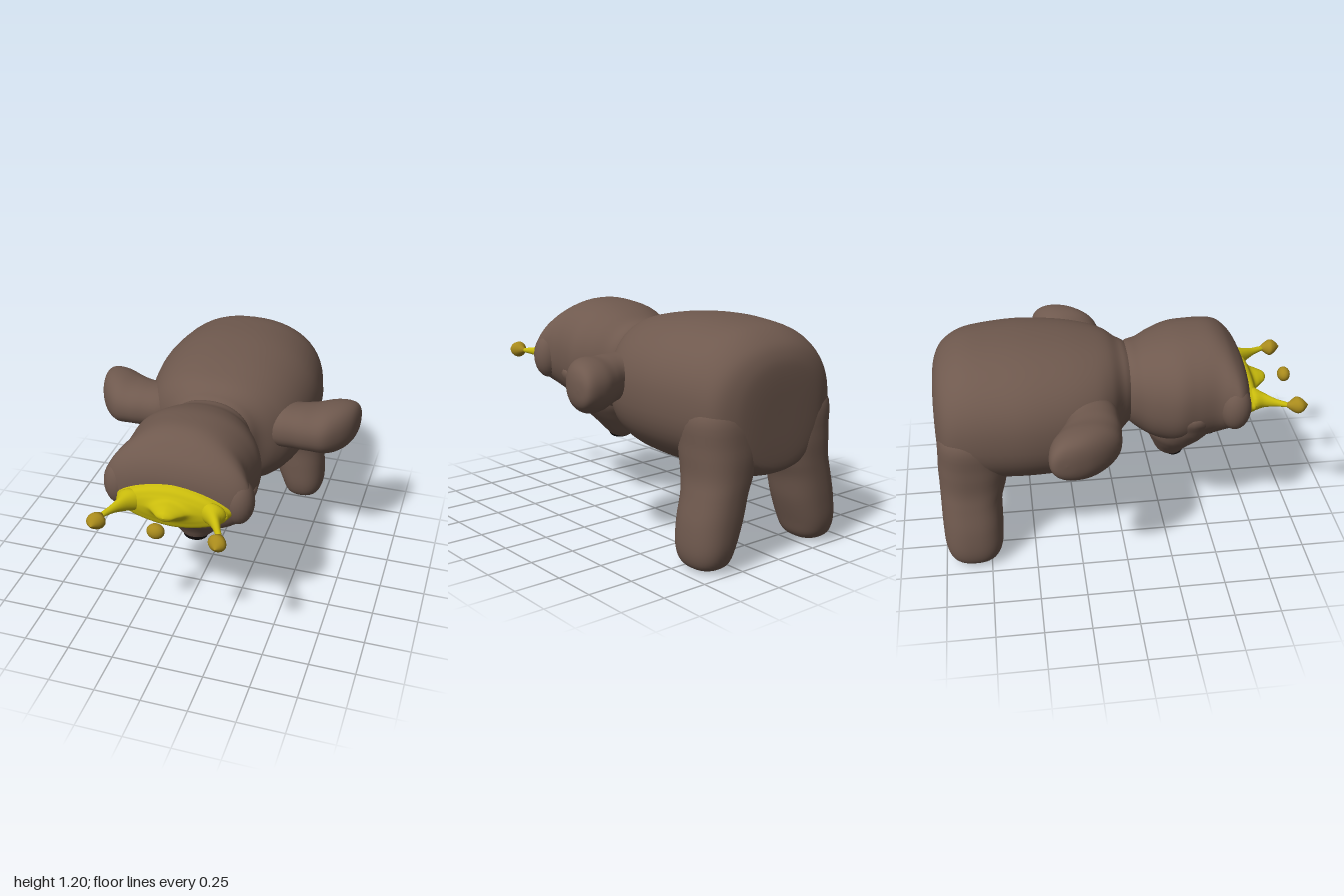
import * as THREE from 'three';

const fur = new THREE.MeshStandardMaterial({ color: 0x6f594e });
const dark = new THREE.MeshStandardMaterial({ color: 0x0e0909 });
const yellow = new THREE.MeshStandardMaterial({ color: 0xc9bb0c });
const ochre = new THREE.MeshStandardMaterial({ color: 0xa88a1c });

// Smooth loft of superellipse rings along an axis.
// Each section: [t, uMin, uMax, vMin, vMax], t ascending.
// Axis z: (u,v,t) = (x,y,z). Axis y: (z,x,y). Axis x: (y,z,x).
function loft(axis, sections, { power = 2, mirror = false, sides = 40, steps = 5 } = {}) {
  const last = sections.length - 1, rings = [], pos = [], index = [];
  const spline = (a, b, c, d, f) =>
    b + 0.5 * f * (c - a + f * (2 * a - 5 * b + 4 * c - d + f * (3 * (b - c) + d - a)));
  for (let i = 0; i < last; i++) {
    for (let k = 0; k < steps; k++) {
      const [a, b, c, d] = [i - 1, i, i + 1, i + 2].map(n => sections[Math.min(last, Math.max(0, n))]);
      rings.push(b.map((_, n) => spline(a[n], b[n], c[n], d[n], k / steps)));
    }
  }
  rings.push(sections[last]);
  const curve = c => Math.sign(c) * Math.abs(c) ** (2 / power);
  for (const [t, u0, u1, v0, v1] of rings) {
    for (let j = 0; j < sides; j++) {
      const a = j / sides * Math.PI * 2;
      const u = (u0 + u1) / 2 + Math.max(0, u1 - u0) / 2 * curve(Math.cos(a));
      const v = (v0 + v1) / 2 + Math.max(0, v1 - v0) / 2 * curve(Math.sin(a));
      const p = axis === 'z' ? [u, v, t] : axis === 'y' ? [v, t, u] : [t, u, v];
      if (mirror) p[0] *= -1;
      pos.push(...p);
    }
  }
  for (let i = 0; i < rings.length - 1; i++) {
    for (let j = 0; j < sides; j++) {
      const a = i * sides + j, b = i * sides + (j + 1) % sides, c = a + sides, d = b + sides;
      index.push(...(mirror ? [a, c, b, b, c, d] : [a, b, c, b, d, c]));
    }
  }
  const geo = new THREE.BufferGeometry();
  geo.setAttribute('position', new THREE.Float32BufferAttribute(pos, 3));
  geo.setIndex(index);
  geo.computeVertexNormals();
  return geo;
}

// Section symmetric about x = 0 for lofts along z
const sym = ([z, w, y0, y1]) => [z, -w, w, y0, y1];

export function createModel() {
  const model = new THREE.Group();
  const add = (name, geo, mat) => {
    const mesh = new THREE.Mesh(geo, mat);
    mesh.name = name;
    model.add(mesh);
    return mesh;
  };
  const ball = (name, mat, [x, y, z], [rx, ry, rz]) => {
    const mesh = add(name, new THREE.SphereGeometry(1, 24, 16), mat);
    mesh.position.set(x, y, z);
    mesh.scale.set(rx, ry, rz);
    return mesh;
  };

  // Body: flat rump at the back, narrow neck at the front
  add('body', loft('z', [
    [-1, 0, 0.75, 0.75], [-0.998, 0.2, 0.52, 0.95], [-0.98, 0.31, 0.47, 1.05],
    [-0.93, 0.395, 0.44, 1.12], [-0.83, 0.44, 0.43, 1.175], [-0.68, 0.47, 0.43, 1.195],
    [-0.5, 0.485, 0.43, 1.2], [-0.3, 0.465, 0.435, 1.185], [-0.15, 0.42, 0.46, 1.16],
    [-0.06, 0.35, 0.52, 1.135], [0, 0.27, 0.61, 1.1], [0.05, 0.225, 0.66, 1.075],
    [0.12, 0.15, 0.72, 1.0], [0.15, 0, 0.86, 0.86],
  ].map(sym), { power: 2.25, sides: 56 }), fur);

  // Head, with its crown end facing forward
  add('head', loft('z', [
    [-0.05, 0, 0.86, 0.86], [0, 0.15, 0.72, 1.0], [0.05, 0.225, 0.66, 1.075],
    [0.12, 0.265, 0.6, 1.095], [0.2, 0.315, 0.56, 1.13], [0.3, 0.355, 0.54, 1.16],
    [0.4, 0.35, 0.545, 1.172], [0.5, 0.345, 0.57, 1.172], [0.57, 0.37, 0.61, 1.145],
    [0.62, 0.385, 0.64, 1.1], [0.66, 0.35, 0.67, 1.05], [0.685, 0.28, 0.715, 0.99],
    [0.695, 0.16, 0.77, 0.93], [0.698, 0, 0.85, 0.85],
  ].map(sym), { power: 2.2, sides: 56 }), fur);

  // Muzzle hanging beneath the head, and the nose on its tip
  add('muzzle', loft('y', [
    [0.37, 0.32, 0.32, 0, 0], [0.376, 0.275, 0.365, -0.045, 0.045],
    [0.41, 0.23, 0.385, -0.09, 0.09], [0.46, 0.205, 0.41, -0.14, 0.14],
    [0.53, 0.175, 0.46, -0.21, 0.21], [0.6, 0.15, 0.53, -0.27, 0.27],
    [0.7, 0.16, 0.58, -0.325, 0.325], [0.82, 0.2, 0.55, -0.33, 0.33],
    [0.95, 0.37, 0.37, 0, 0],
  ]), fur);
  ball('nose', dark, [0, 0.395, 0.325], [0.07, 0.033, 0.058]);

  for (const side of [1, -1]) {
    const label = side > 0 ? 'left' : 'right';
    const mirror = side < 0;

    // Leg: tapers into the hip at the top
    add(label + 'Leg', loft('y', [
      [0, -0.84, -0.84, 0.36, 0.36], [0.008, -0.91, -0.77, 0.3, 0.42],
      [0.04, -0.965, -0.71, 0.255, 0.465], [0.12, -0.993, -0.68, 0.222, 0.485],
      [0.25, -1, -0.672, 0.175, 0.477], [0.38, -1, -0.668, 0.142, 0.45],
      [0.48, -1, -0.64, 0.1, 0.435], [0.62, -0.998, -0.62, 0.06, 0.44],
      [0.8, -0.97, -0.65, 0.1, 0.43], [0.92, -0.82, -0.82, 0.25, 0.25],
    ], { power: 2.35, mirror }), fur);

    // Arm: sweeps outward and back
    add(label + 'Arm', loft('x', [
      [0.2, 0.87, 0.87, -0.18, -0.18], [0.3, 0.76, 0.98, -0.31, -0.05],
      [0.44, 0.75, 0.99, -0.325, -0.035], [0.53, 0.74, 0.99, -0.37, -0.038],
      [0.61, 0.726, 1.0, -0.412, -0.055], [0.68, 0.732, 0.995, -0.425, -0.12],
      [0.73, 0.765, 0.97, -0.42, -0.2], [0.754, 0.81, 0.925, -0.395, -0.28],
      [0.76, 0.87, 0.87, -0.34, -0.34],
    ], { power: 2.2, mirror }), fur);

    // Ear and eye
    ball(label + 'Ear', fur, [side * 0.315, 0.85, 0.6], [0.085, 0.13, 0.085]);
    const eye = ball(label + 'Eye', dark, [side * 0.165, 0.612, 0.5], [0.055, 0.02, 0.04]);
    eye.rotation.set(-0.3, 0, side * 0.4);

    // Crown prong with its bead
    add(label + 'CrownProng', loft('z', [
      [0.69, 0.2, 0.2, 0.83, 0.83], [0.71, 0.13, 0.285, 0.77, 0.89],
      [0.77, 0.2, 0.275, 0.79, 0.875], [0.83, 0.25, 0.292, 0.81, 0.855],
      [0.89, 0.285, 0.315, 0.82, 0.845], [0.93, 0.305, 0.305, 0.833, 0.833],
    ], { mirror, sides: 20 }), yellow);
    add(label + 'CrownBead', loft('z', [
      [0.87, 0.3, 0.3, 0.833, 0.833], [0.9, 0.287, 0.33, 0.81, 0.855],
      [0.935, 0.262, 0.352, 0.787, 0.877], [0.96, 0.27, 0.355, 0.793, 0.872],
      [0.98, 0.29, 0.34, 0.81, 0.855], [1, 0.314, 0.314, 0.833, 0.833],
    ], { mirror, sides: 20 }), ochre);
  }

  // Crown: lens-shaped band rising to a middle point, with a loose bead before it
  add('crownBand', loft('z', [
    [0.64, 0, 0.82, 0.82], [0.66, 0.28, 0.7, 0.94], [0.7, 0.295, 0.7, 0.94],
    [0.725, 0.285, 0.715, 0.925], [0.74, 0.22, 0.75, 0.9], [0.755, 0.12, 0.77, 0.885],
    [0.79, 0.075, 0.79, 0.875], [0.825, 0.04, 0.81, 0.86], [0.84, 0, 0.838, 0.838],
  ].map(sym), { power: 1.7 }), yellow);
  ball('middleCrownBead', ochre, [0, 0.838, 0.945], [0.045, 0.04, 0.035]);

  return model;
}
